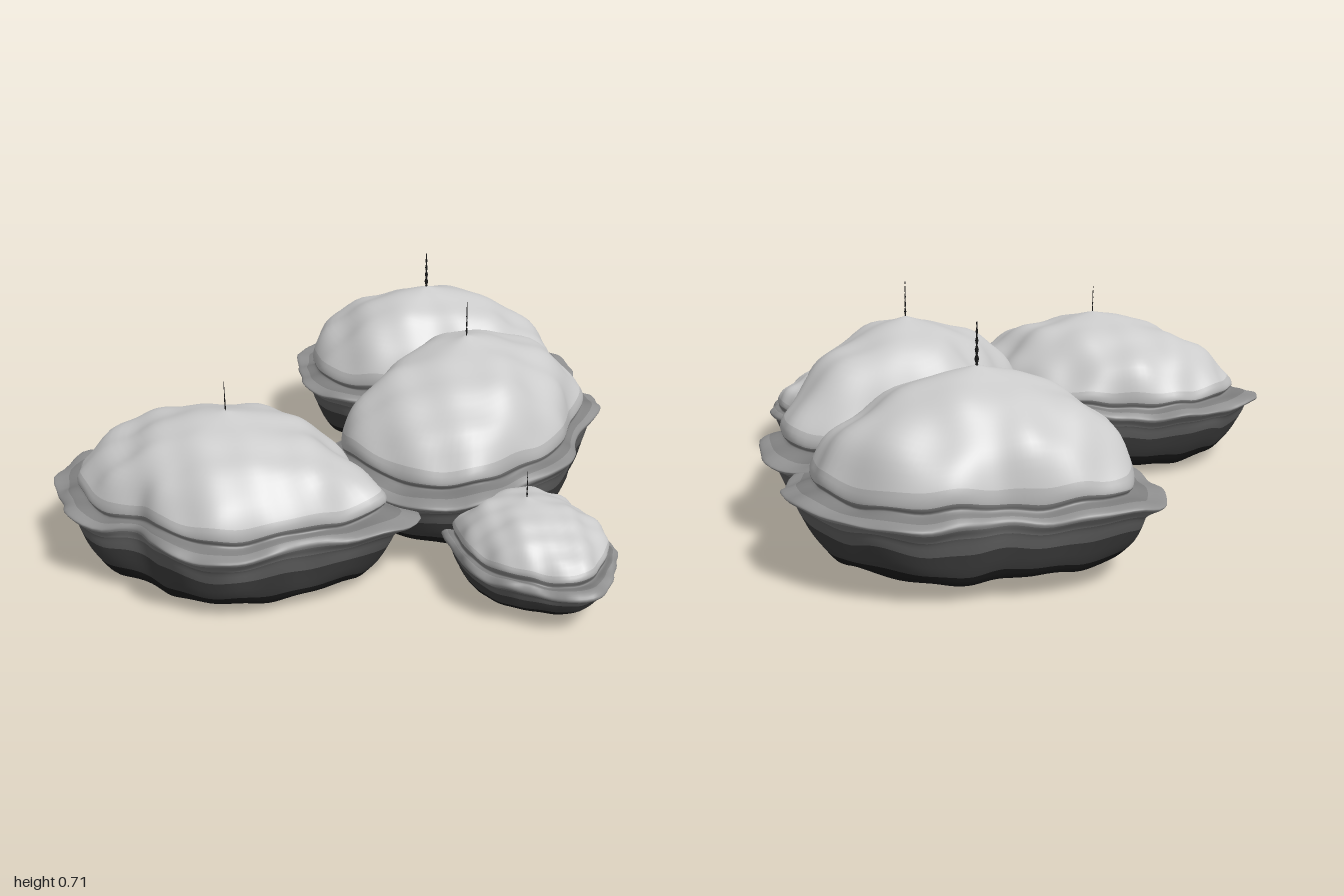
import * as THREE from 'three';

const SEGMENTS = 120, STEP = 4, RINGS = 16 * STEP;

// Each stone: peak position, heights, spike, and flange radii at equal angles turning from +x to +z
const STONES = [
  { name: 'backStone', x: -0.3, z: -0.55, base: 0.03, rim: 0.235, dome: 0.285, peak: 0.58, tip: 0.7, spike: 0.008, seed: 1,
    radii: [0.445, 0.365, 0.292, 0.28, 0.3, 0.343, 0.41, 0.452, 0.46, 0.5,
      0.54, 0.445, 0.38, 0.335, 0.37, 0.435, 0.465, 0.505, 0.54, 0.545] },
  { name: 'frontStone', x: -0.28, z: 0.62, base: 0, rim: 0.22, dome: 0.265, peak: 0.51, tip: 0.6, spike: 0.003, seed: 2,
    radii: [0.5, 0.405, 0.4, 0.415, 0.39, 0.345, 0.33, 0.45, 0.505, 0.59,
      0.56, 0.505, 0.455, 0.392, 0.385, 0.4, 0.39, 0.395, 0.435, 0.588] },
  { name: 'middleStone', x: 0.12, z: -0.11, base: 0.03, rim: 0.245, dome: 0.295, peak: 0.6, tip: 0.71, spike: 0.004, seed: 3,
    radii: [0.39, 0.397, 0.415, 0.515, 0.555, 0.535, 0.507, 0.515, 0.41, 0.345,
      0.32, 0.395, 0.43, 0.455, 0.505, 0.575, 0.59, 0.495, 0.385, 0.375] },
  { name: 'smallStone', x: 0.55, z: 0.28, base: 0.03, rim: 0.13, dome: 0.165, peak: 0.3, tip: 0.38, spike: 0.003, seed: 4,
    radii: [0.285, 0.34, 0.26, 0.235, 0.21, 0.22, 0.28, 0.265, 0.25, 0.25, 0.225, 0.265] },
];

// Surface zones from the underside up: first profile span and grey tone
const ZONES = [
  { name: 'underside', from: 0, color: 0x0c0c0c },
  { name: 'lowerWall', from: 2, color: 0x1a1a1a },
  { name: 'middleWall', from: 3, color: 0x3c3c3c },
  { name: 'upperWall', from: 4, color: 0x606060 },
  { name: 'flangeUnderside', from: 5, color: 0x787878 },
  { name: 'flange', from: 6, color: 0x909090 },
  { name: 'groove', from: 8, color: 0x808080 },
  { name: 'domeFoot', from: 10, color: 0xb8b8b8 },
  { name: 'dome', from: 11, color: 0xcccccc },
  { name: 'undersideStreaks', from: Infinity, color: 0xa8a8a8 },
];
const STREAKS = ZONES.length - 1;
const MATERIALS = ZONES.map(({ color }) => new THREE.MeshStandardMaterial({ color }));

// Side profile from underside to peak: x is the fraction of the outline, y the height
function profile({ base, rim, dome, peak }) {
  const low = (t) => base + (rim - base) * t;
  const high = (t) => dome + (peak - dome) * t;
  return new THREE.SplineCurve([
    [0, base], [0.35, low(0.06)], [0.74, low(0.12)], [0.85, low(0.32)], [0.91, low(0.65)], [0.94, low(0.86)],
    [0.995, rim - 0.004], [1, rim + 0.008], [0.94, rim + 0.02], [0.865, dome - 0.018], [0.88, dome],
    [0.86, high(0.13)], [0.76, high(0.4)], [0.6, high(0.63)], [0.42, high(0.8)], [0.2, high(0.91)], [0, peak],
  ].map(([r, y]) => new THREE.Vector2(r, y))).getPoints(RINGS);
}

// Outline as radii at equal angles, and a softened copy for the middle of the stone
function outlines({ radii }) {
  const n = radii.length;
  const corners = radii.map((r, i) => new THREE.Vector3(i, r, 0));
  const curve = new THREE.CatmullRomCurve3([corners[n - 1], ...corners, corners[0], corners[1]].map(
    (p, i) => new THREE.Vector3(i - 1, p.y, 0)));
  const edge = Array.from({ length: SEGMENTS }, (_, i) => curve.getPoint((1 + (i / SEGMENTS) * n) / (n + 2)).y);
  const reach = 14;
  const soft = edge.map((_, i) => {
    let sum = 0;
    for (let k = -reach; k <= reach; k++) sum += edge[(i + k + SEGMENTS) % SEGMENTS];
    return sum / (2 * reach + 1);
  });
  return { edge, soft };
}

// Lofts the outline along the profile with gentle weathering, then cuts it into tonal zones
function stoneGeometries(stone) {
  const { edge, soft } = outlines(stone);
  const rings = profile(stone);
  const position = [stone.x, stone.base, stone.z, stone.x, stone.peak, stone.z];
  const size = stone.peak - stone.base, s = stone.seed;
  const angle = (i) => (i / SEGMENTS) * Math.PI * 2;
  for (let j = 1; j < RINGS; j++) {
    const { x: r, y } = rings[j];
    for (let i = 0; i < SEGMENTS; i++) {
      const a = angle(i);
      const radius = r * THREE.MathUtils.lerp(soft[i], edge[i], r ** 3);
      const u = radius * Math.cos(a) / size, v = radius * Math.sin(a) / size, h = y / size;
      const wave = Math.sin(9 * u + 4 * v + 7 * h + s) + Math.sin(10 * v - 5 * u + 9 * h + 2 * s)
        + 0.6 * Math.sin(17 * u - 13 * v + 5 * h) + 0.6 * Math.sin(15 * u + 18 * v - 6 * h + s);
      const k = radius * (1 + 0.012 * wave * r);
      const lift = size * 0.011 * wave * Math.min(1, r * 2);
      position.push(stone.x + k * Math.cos(a), Math.max(stone.base, y + lift), stone.z + k * Math.sin(a));
    }
  }

  // Poles are single shared vertices
  const id = (j, i) => (j === 0 ? 0 : j === RINGS ? 1 : 2 + (j - 1) * SEGMENTS + (i % SEGMENTS));
  const all = [], parts = ZONES.map(() => []);
  for (let j = 0; j < RINGS; j++) {
    const zone = ZONES.findLastIndex(({ from }) => j >= from * STEP);
    for (let i = 0; i < SEGMENTS; i++) {
      const a = id(j, i), b = id(j, i + 1), c = id(j + 1, i), d = id(j + 1, i + 1);
      const faces = [];
      if (j > 0) faces.push(a, c, b);
      if (j < RINGS - 1) faces.push(b, c, d);
      const ray = Math.sin(7 * angle(i) + s) + Math.sin(12 * angle(i) + 2 * s);
      const streak = j < 1.4 * STEP && ray > 0.2 + j / STEP * 0.6;
      parts[streak ? STREAKS : zone].push(...faces);
      all.push(...faces);
    }
  }
  const whole = new THREE.BufferGeometry();
  whole.setAttribute('position', new THREE.Float32BufferAttribute(position, 3));
  whole.setIndex(all);
  whole.computeVertexNormals();
  return parts.map((index) => {
    const geometry = new THREE.BufferGeometry();
    geometry.setAttribute('position', whole.attributes.position);
    geometry.setAttribute('normal', whole.attributes.normal);
    geometry.setIndex(index);
    return geometry;
  });
}

// Thin beaded needle rising from the peak
function spikeGeometry({ peak, tip, spike }) {
  const shape = [];
  for (let i = 0; i <= 10; i++) {
    const t = i / 10;
    shape.push(new THREE.Vector2(spike * (1 - t * 0.7) * (i % 2 ? 0.4 : 1), peak - 0.01 + (tip - peak + 0.01) * t));
  }
  shape.push(new THREE.Vector2(0, tip));
  return new THREE.LatheGeometry(shape, 6);
}

export function createModel() {
  const model = new THREE.Group();
  const spikeMaterial = new THREE.MeshStandardMaterial({ color: 0x181818 });
  for (const stone of STONES) {
    const group = new THREE.Group();
    group.name = stone.name;
    stoneGeometries(stone).forEach((geometry, i) => {
      const part = new THREE.Mesh(geometry, MATERIALS[i]);
      part.name = ZONES[i].name;
      group.add(part);
    });
    const spike = new THREE.Mesh(spikeGeometry(stone), spikeMaterial);
    spike.name = 'spike';
    spike.position.set(stone.x, 0, stone.z);
    group.add(spike);
    model.add(group);
  }
  return model;
}
